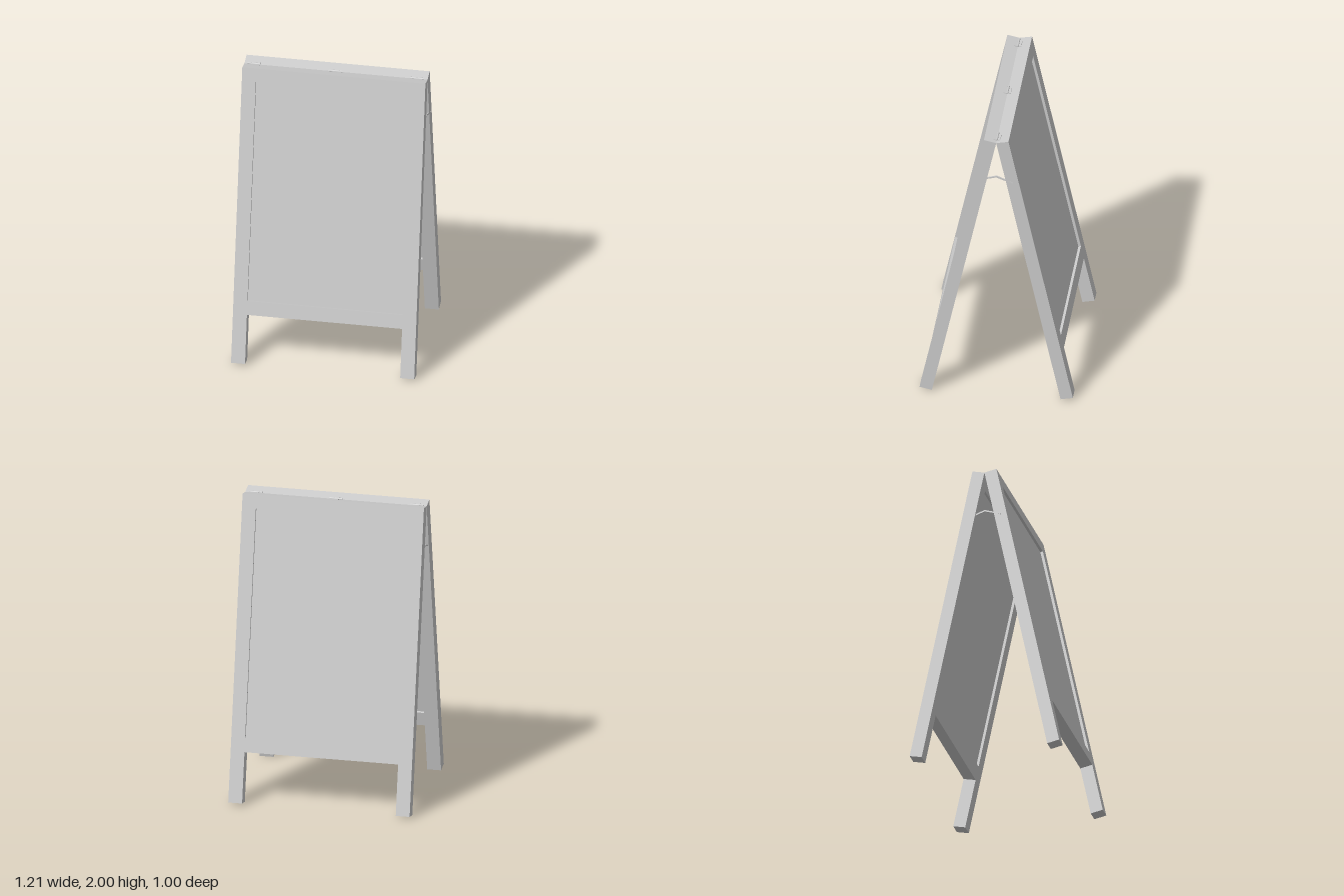
import * as THREE from 'three';

const TILT = Math.atan2(0.42, 1.983); // lean of each leaf
const T = 0.082;                      // frame thickness
const LEN = 2.027;                    // leg length along the slope
const W = 0.602, IN = 0.51;           // outer and inner half widths
const TOP = -0.092, SILL = -1.595, RAIL = -1.69;
const HINGE_X = [-0.538, 0, 0.532];

export function createModel() {
  const grey = new THREE.MeshStandardMaterial({ color: 0xcccccc });
  grey.name = 'paintedGrey';
  const model = new THREE.Group();
  model.name = 'aFrameBoard';

  const add = (parent, name, geometry, x = 0, y = 0, z = 0) => {
    const mesh = new THREE.Mesh(geometry, grey);
    mesh.name = name;
    mesh.position.set(x, y, z);
    parent.add(mesh);
    return mesh;
  };
  const path = (points) => points.map(([x, y]) => new THREE.Vector2(x, y));

  // Frame outline: two legs joined by rails, with a window for the panel
  const outline = new THREE.Shape(path([
    [-W, 0], [-W, -LEN], [-IN, -LEN], [-IN, RAIL],
    [IN, RAIL], [IN, -LEN], [W, -LEN], [W, 0],
  ]));
  outline.holes.push(new THREE.Path(path([[-IN, TOP], [IN, TOP], [IN, SILL], [-IN, SILL]])));
  const frameGeometry = new THREE.ExtrudeGeometry(outline, { depth: T, bevelEnabled: false });
  const panelGeometry = new THREE.BoxGeometry(2 * IN, TOP - SILL, T - 0.034);
  const leafGeometry = new THREE.BoxGeometry(0.06, 0.004, 0.024);

  // Front and back boards lean on each other at the top
  ['front', 'back'].forEach((side, i) => {
    const turn = new THREE.Group();
    turn.name = side + 'Board';
    turn.rotation.y = i * Math.PI;
    const board = new THREE.Group();
    board.name = side + 'Leaf';
    board.position.y = 1.983;
    board.rotation.x = -TILT;
    add(board, side + 'Frame', frameGeometry);
    add(board, side + 'Panel', panelGeometry, 0, (TOP + SILL) / 2, T / 2);
    const flip = i ? -1 : 1;
    HINGE_X.forEach((x) => add(board, 'hingeLeaf', leafGeometry, flip * (x + 0.01), 0.002, 0.012));
    turn.add(board);
    model.add(turn);
  });

  // Hinge barrels in the valley between the boards
  const barrel = new THREE.CylinderGeometry(0.007, 0.007, 0.085, 12);
  HINGE_X.forEach((x) => {
    add(model, 'hingeBarrel', barrel, x, 1.987, 0).rotation.z = Math.PI / 2;
  });

  // Bent stays, running from inside one leg to the outside of the other
  const bar = new THREE.Shape(path([
    [-0.11, 1.672], [0, 1.708], [0.11, 1.672], [0.11, 1.681], [0, 1.719], [-0.11, 1.681],
  ]));
  const stayGeometry = new THREE.ExtrudeGeometry(bar, { depth: 0.008, bevelEnabled: false });
  stayGeometry.translate(0, 0, -0.004);
  stayGeometry.rotateY(Math.PI / 2 - 0.08);
  [0, 1].forEach((i) => {
    const side = new THREE.Group();
    side.name = i ? 'rightStay' : 'leftStay';
    side.rotation.y = i * Math.PI;
    add(side, 'stayBar', stayGeometry, 0.592, 0, 0);
    model.add(side);
  });

  return model;
}
